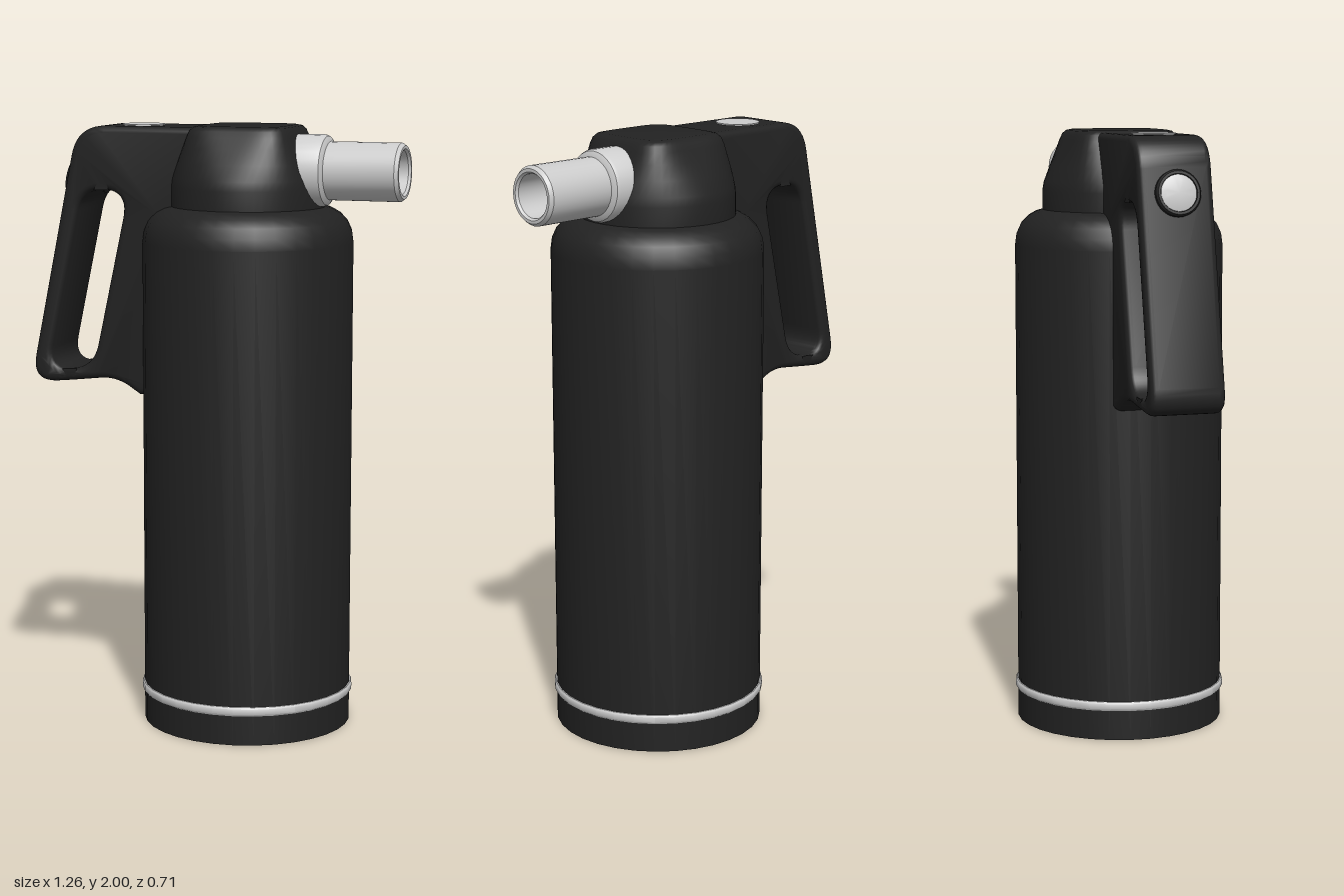
import * as THREE from 'three';
import { toCreasedNormals } from 'three/addons/utils/BufferGeometryUtils.js';

const black = new THREE.MeshStandardMaterial({ color: 0x222222 });
const grey = new THREE.MeshStandardMaterial({ color: 0xcccccc });
const CX = 0.093; // axis of the canister

function part(name, geometry, material, x = 0, y = 0, z = 0) {
  const mesh = new THREE.Mesh(toCreasedNormals(geometry, 0.6), material);
  mesh.name = name;
  mesh.position.set(x, y, z);
  return mesh;
}

function lathe(points, segments = 32) {
  return new THREE.LatheGeometry(points.map(([r, y]) => new THREE.Vector2(r, y)), segments);
}

// Closed outline with rounded corners; each corner is [x, y, trim length]
function roundedPath(path, corners) {
  const n = corners.length;
  const toward = (a, b) => {
    const from = new THREE.Vector2(a[0], a[1]);
    const dir = new THREE.Vector2(b[0], b[1]).sub(from).normalize();
    return from.addScaledVector(dir, a[2]);
  };
  corners.forEach((c, i) => {
    const p = toward(c, corners[(i + n - 1) % n]);
    const q = toward(c, corners[(i + 1) % n]);
    if (i === 0) path.moveTo(p.x, p.y);
    else path.lineTo(p.x, p.y);
    if (c[2] > 0) path.quadraticCurveTo(c[0], c[1], q.x, q.y);
  });
  path.closePath();
  return path;
}

// Loft from a round base to a rounded square top; each level is [y, half width, squareness]
function headGeometry() {
  const levels = [
    [1.725, 0, 2], [1.725, 0.255, 2], [1.8, 0.255, 2], [1.83, 0.248, 2.1],
    [1.88, 0.222, 2.6], [1.93, 0.196, 3.4], [1.965, 0.178, 4.5],
    [1.985, 0.168, 5], [1.996, 0.157, 5], [2, 0.14, 5], [2, 0, 5],
  ];
  const seg = 64, pos = [], idx = [];
  for (const [y, h, n] of levels) {
    for (let j = 0; j < seg; j++) {
      const a = (j / seg) * Math.PI * 2, c = Math.cos(a), s = Math.sin(a);
      const r = h / Math.pow(Math.abs(c) ** n + Math.abs(s) ** n, 1 / n);
      pos.push(r * c, y, r * s);
    }
  }
  for (let i = 0; i < levels.length - 1; i++) {
    for (let j = 0; j < seg; j++) {
      const a = i * seg + j, b = i * seg + (j + 1) % seg;
      if (levels[i][1] > 0) idx.push(a, a + seg, b);
      if (levels[i + 1][1] > 0) idx.push(b, a + seg, b + seg);
    }
  }
  const g = new THREE.BufferGeometry();
  g.setAttribute('position', new THREE.Float32BufferAttribute(pos, 3));
  g.setIndex(idx);
  return g;
}

// Grip plate with a slanted finger opening and softened edges
function handleGeometry() {
  const shape = roundedPath(new THREE.Shape(), [
    [-0.03, 1.994, 0], [-0.47, 1.994, 0.1], [-0.648, 1.125, 0.1],
    [-0.5, 1.14, 0.04], [-0.335, 1.16, 0.06], [-0.25, 1.105, 0],
    [-0.15, 1.105, 0], [-0.15, 1.68, 0], [-0.03, 1.68, 0],
  ]);
  shape.holes.push(roundedPath(new THREE.Path(), [
    [-0.45, 1.785, 0.075], [-0.58, 1.175, 0.085],
    [-0.418, 1.185, 0.085], [-0.287, 1.785, 0.095],
  ]));
  const bevel = 0.022, half = 0.122;
  const g = new THREE.ExtrudeGeometry(shape, {
    depth: 2 * (half - bevel), bevelEnabled: true, bevelSize: bevel,
    bevelThickness: bevel, bevelOffset: -bevel, bevelSegments: 4, curveSegments: 10,
  });
  return g.translate(0, 0, bevel - half);
}

export function createModel() {
  const model = new THREE.Group();
  model.name = 'canister';

  // Canister and trim ring
  model.add(part('body', lathe([
    [0, 0], [0.348, 0], [0.348, 1.62], [0.343, 1.657], [0.328, 1.69],
    [0.304, 1.715], [0.278, 1.73], [0.25, 1.738], [0, 1.738],
  ]), black, CX));
  model.add(part('trimRing', lathe([
    [0.34, 0.1], [0.352, 0.1], [0.356, 0.106], [0.356, 0.124], [0.352, 0.13], [0.34, 0.13],
  ]), grey, CX));

  // Head and grip
  model.add(part('head', headGeometry(), black, CX));
  model.add(part('handle', handleGeometry(), black));

  // Hollow nozzle with its collar, pointing to +x
  const nozzle = new THREE.Group();
  nozzle.name = 'nozzle';
  nozzle.position.set(0.2, 1.857, 0);
  nozzle.rotation.z = -Math.PI / 2;
  nozzle.add(part('collar', lathe([
    [0, 0], [0.117, 0], [0.117, 0.155], [0.112, 0.166], [0.095, 0.176], [0, 0.176],
  ]), grey));
  nozzle.add(part('spout', lathe([
    [0.095, 0.15], [0.095, 0.412], [0.086, 0.424], [0.076, 0.424], [0.07, 0.416],
    [0.07, 0.25], [0, 0.25],
  ]), grey));
  model.add(nozzle);

  // Button on top of the grip
  model.add(part('topButton', new THREE.CylinderGeometry(0.072, 0.072, 0.02, 32), grey, -0.273, 1.988, 0));

  // Button in a dark bezel on the outer slope of the grip
  const side = new THREE.Group();
  side.name = 'sideButton';
  side.position.set(-0.505, 1.817, 0);
  side.rotation.z = Math.PI / 2 - 0.202;
  side.add(part('bezel', lathe([
    [0.074, -0.03], [0.074, 0.014], [0.068, 0.022], [0.06, 0.022], [0.058, 0.016], [0.058, -0.03],
  ]), black));
  side.add(part('buttonFace', lathe([
    [0.058, -0.03], [0.058, 0.018], [0.04, 0.024], [0, 0.026],
  ]), grey));
  model.add(side);

  return model;
}
